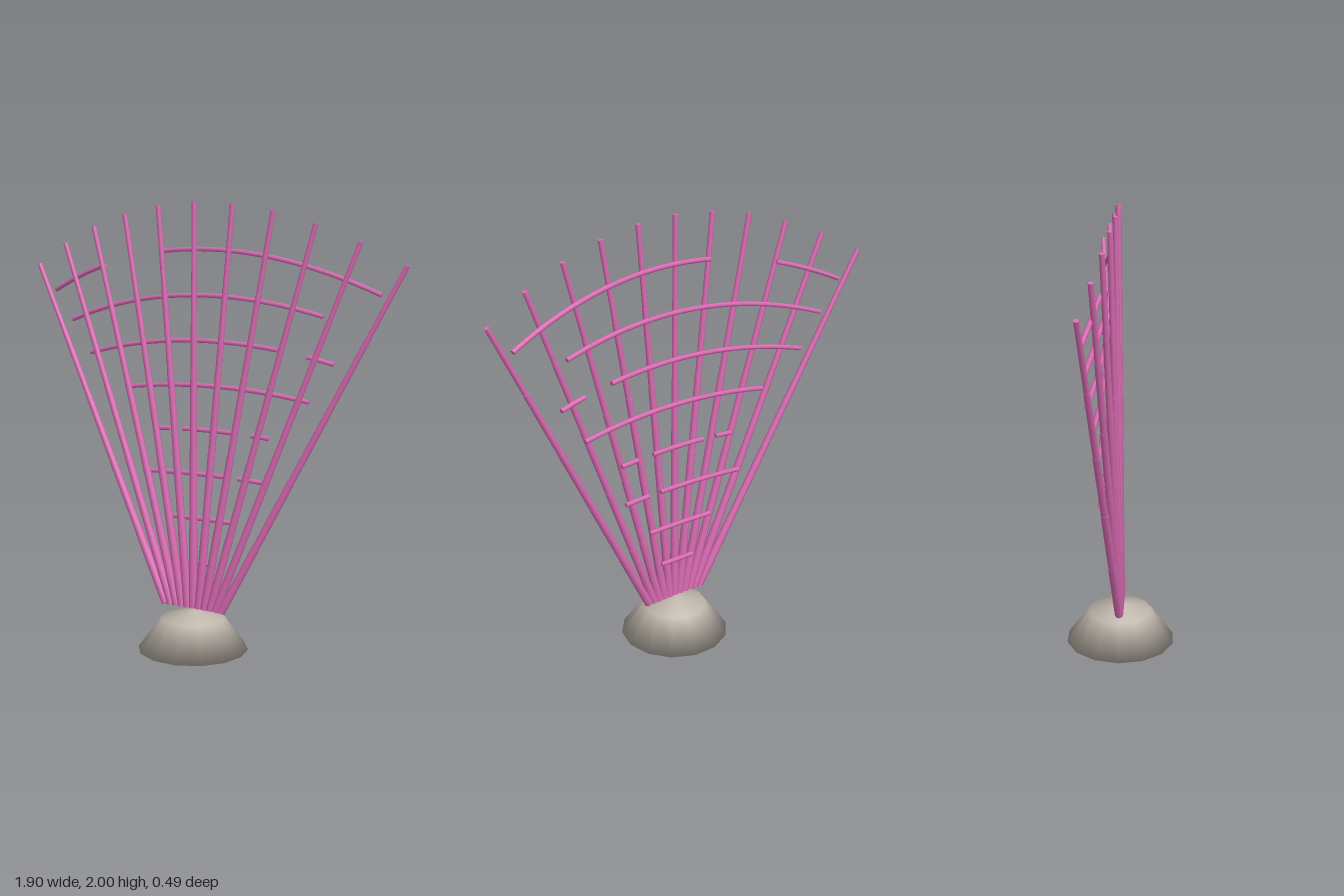
import * as THREE from 'three';

const pink = new THREE.MeshStandardMaterial({ color: 0xdd6db6 });
const stone = new THREE.MeshStandardMaterial({ color: 0xbdb5aa });

const BASE_Y = 0.19, HEIGHT = 1.81;

// Rod between two points
function rod(a, b, r0, r1, sides) {
  const dir = b.clone().sub(a);
  const mesh = new THREE.Mesh(new THREE.CylinderGeometry(r1, r0, dir.length(), sides), pink);
  mesh.position.copy(a).add(b).multiplyScalar(0.5);
  mesh.quaternion.setFromUnitVectors(new THREE.Vector3(0, 1, 0), dir.normalize());
  return mesh;
}

// One straight branch made of five ever thinner segments; s runs from -1 to 1
function branch(s) {
  const g = new THREE.Group();
  g.name = 'branch';
  const a = new THREE.Vector3(0.147 * s, BASE_Y, 0);
  const b = new THREE.Vector3(0.94 * s, BASE_Y + HEIGHT - 0.27 * s * s, -0.008 - 0.112 * s * s);
  const n = 5;
  for (let i = 0; i < n; i++) {
    const r = 0.0198 - 0.002 * i;
    const seg = rod(a.clone().lerp(b, i / n), a.clone().lerp(b, (i + 1) / n), r, r * 0.96, 8);
    seg.name = 'branchSegment';
    g.add(seg);
  }
  return g;
}

// Curved cross strand at height fraction t, from x0 to x1, bowed backward at mid height
function strand(t, x0, x1) {
  const g = new THREE.Group();
  g.name = 'crossStrand';
  const point = (x) => new THREE.Vector3(
    x,
    BASE_Y + t * (HEIGHT - 0.305 * x * x),
    -0.08 * Math.sin(Math.PI * t) - 0.137 * t * x * x
  );
  const n = Math.max(2, Math.ceil((x1 - x0) / 0.06));
  for (let i = 0; i < n; i++) {
    const p = point(x0 + (x1 - x0) * i / n), q = point(x0 + (x1 - x0) * (i + 1) / n);
    const seg = rod(p, q, 0.0108, 0.0108, 6);
    seg.name = 'strandSegment';
    g.add(seg);
  }
  return g;
}

export function createModel() {
  const model = new THREE.Group();
  model.name = 'seaFan';

  // Low dome with a closed underside that the fan grows from
  const profile = [[0, 0], [0.251, 0], [0.146, 0.145], [0, 0.187]]
    .map(([x, y]) => new THREE.Vector2(x, y));
  const holdfast = new THREE.Mesh(new THREE.LatheGeometry(profile, 14, Math.PI / 2), stone);
  holdfast.name = 'holdfast';
  model.add(holdfast);

  // Eleven branches spread as a fan
  const branches = new THREE.Group();
  branches.name = 'branches';
  for (let i = -5; i <= 5; i++) branches.add(branch(i / 5));
  model.add(branches);

  // Broken rows of cross strands: [row, x ranges...]
  const rows = [
    [1, [-0.08, 0.09]],
    [2, [-0.165, 0.17]],
    [3, [-0.31, 0.125], [0.19, 0.31]],
    [4, [-0.25, -0.17], [-0.1, 0.17], [0.25, 0.335]],
    [5, [-0.42, 0.52]],
    [6, [-0.63, 0.375], [0.51, 0.63]],
    [7, [-0.735, 0.585]],
    [8, [-0.835, -0.51], [-0.165, 0.835]],
  ];
  const strands = new THREE.Group();
  strands.name = 'crossStrands';
  for (const [row, ...ranges] of rows)
    for (const [x0, x1] of ranges) strands.add(strand(row / 9, x0, x1));
  model.add(strands);

  return model;
}
